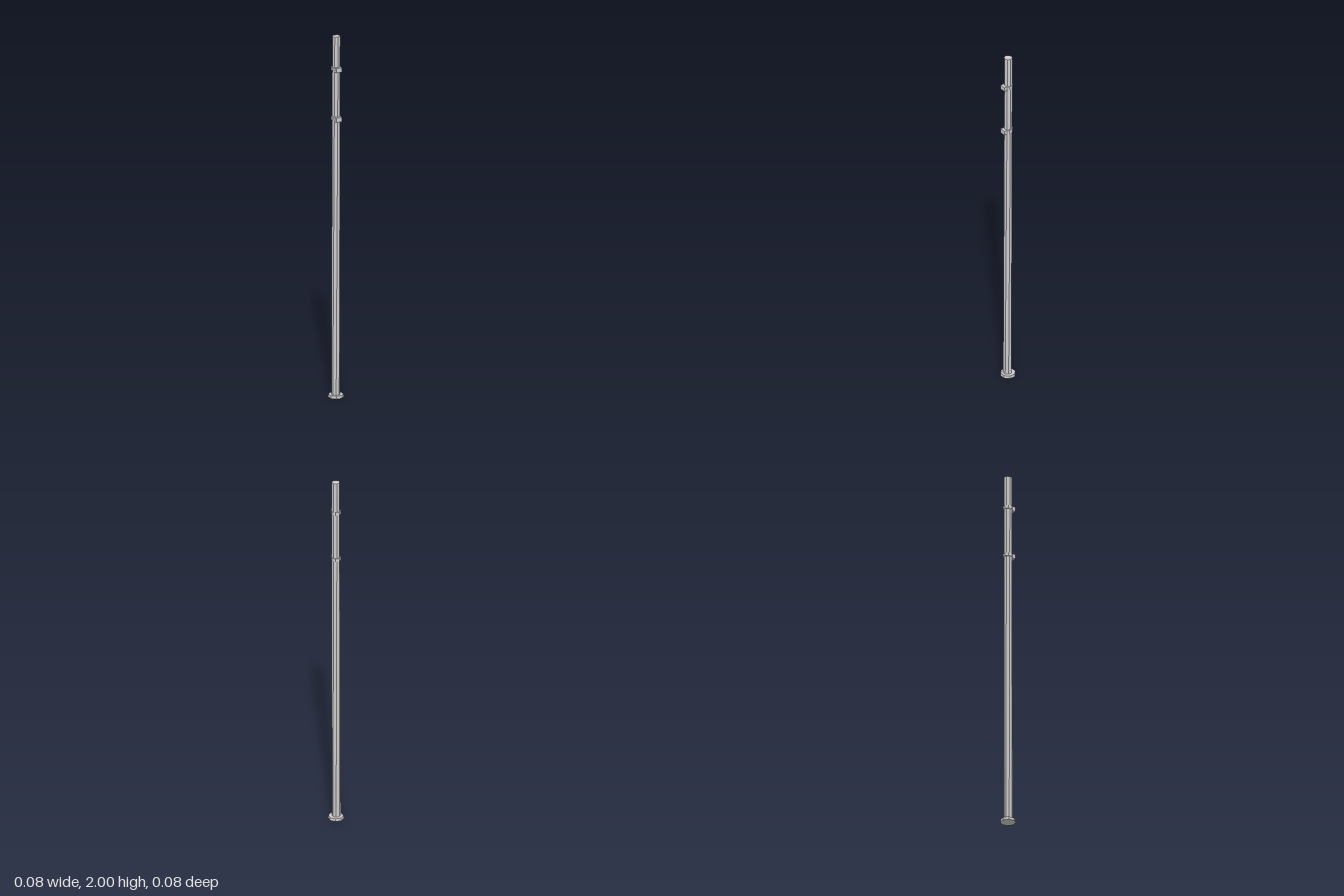
import * as THREE from 'three';

const material = new THREE.MeshStandardMaterial({ color: 0xcccccc, flatShading: true });

function addPart(parent, name, geometry, x = 0, y = 0, z = 0) {
  const mesh = new THREE.Mesh(geometry, material);
  mesh.name = name;
  mesh.position.set(x, y, z);
  parent.add(mesh);
  return mesh;
}

// Octagonal prism with flat sides facing the axes
function octagon(acrossFlats, height, taper = 1) {
  const r = acrossFlats / 2 / Math.cos(Math.PI / 8);
  return new THREE.CylinderGeometry(r * taper, r, height, 8).rotateY(Math.PI / 8);
}

// Slightly crooked, tapering pole
function poleGeometry() {
  const height = 1.99;
  const geometry = new THREE.CylinderGeometry(0.0225, 0.0235, height, 8, 6);
  geometry.rotateY(Math.PI / 8).translate(0, 0.01 + height / 2, 0);
  const p = geometry.attributes.position;
  for (let i = 0; i < p.count; i++) {
    const t = p.getY(i) / 2;
    const twist = 0.35 * t;
    const x = p.getX(i), z = p.getZ(i);
    p.setX(i, x * Math.cos(twist) + z * Math.sin(twist) - 0.0025 + 0.004 * t);
    p.setZ(i, z * Math.cos(twist) - x * Math.sin(twist) + 0.002 * (1 - t));
  }
  geometry.computeVertexNormals();
  return geometry;
}

export function createModel() {
  const model = new THREE.Group();
  model.name = 'pole';

  addPart(model, 'basePlate', octagon(0.077, 0.016, 0.97), 0, 0.008, 0);
  addPart(model, 'shaft', poleGeometry());

  // Two clamps, each a band with a bracket on the front
  for (const y of [1.545, 1.82]) {
    const clamp = new THREE.Group();
    clamp.name = 'clamp';
    clamp.position.y = y;
    addPart(clamp, 'band', octagon(0.049, 0.018), 0.0005, 0.002, 0);
    addPart(clamp, 'bracket', new THREE.BoxGeometry(0.033, 0.024, 0.02), 0, 0, 0.027);
    model.add(clamp);
  }
  return model;
}
